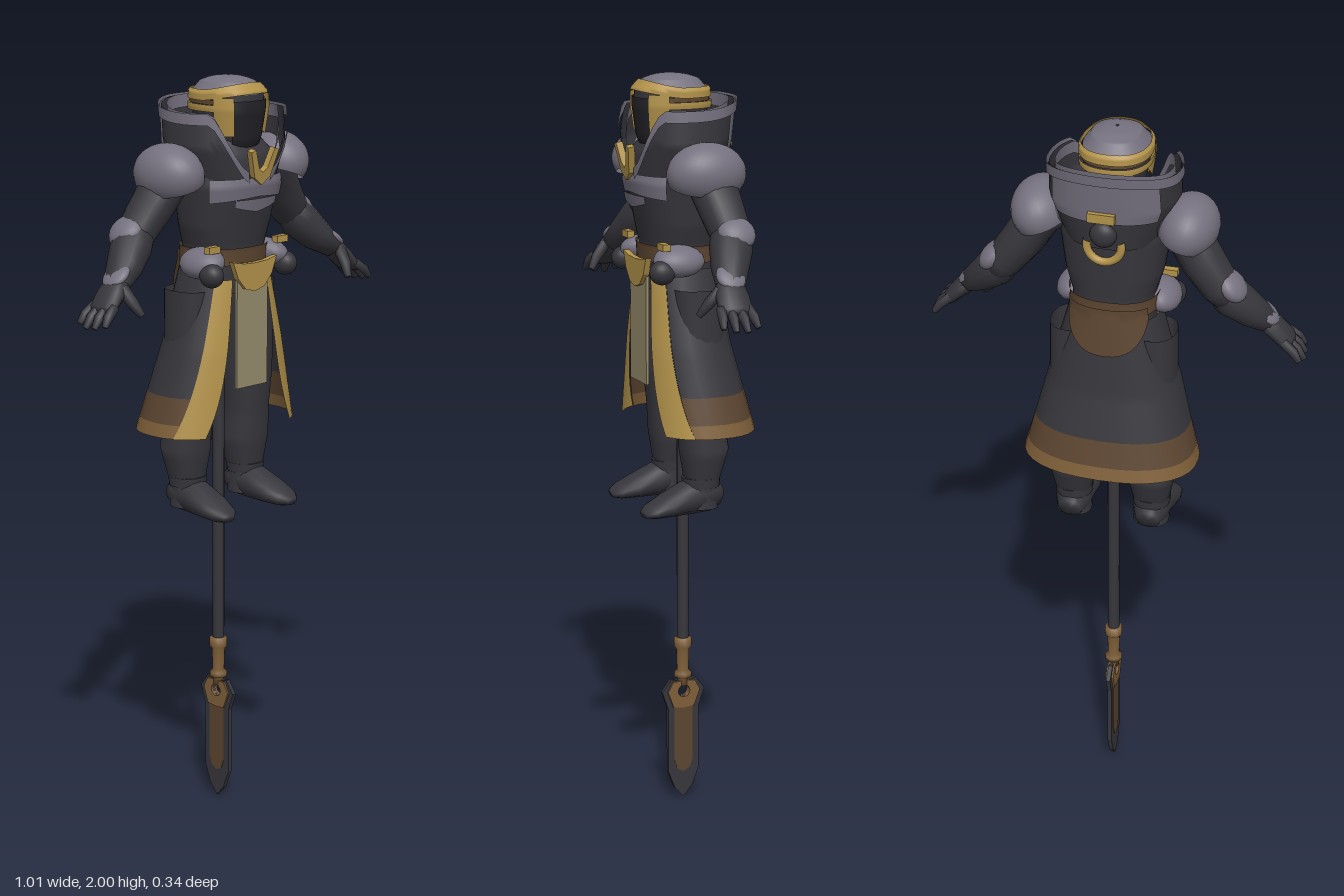
import * as THREE from 'three';
import { ParametricGeometry } from 'three/addons/geometries/ParametricGeometry.js';

const { lerp, smoothstep } = THREE.MathUtils;
const V = (x, y, z) => new THREE.Vector3(x, y, z);

// Profiles are rows of [y, half width, front z, back z]
const TORSO = [[1.44, .11, .1, -.085], [1.55, .108, .105, -.08], [1.62, .128, .118, -.085], [1.72, .142, .138, -.09], [1.8, .13, .125, -.09], [1.88, .05, .07, -.05]];
const SKIRT = [[1.07, .235, .135, -.175], [1.3, .175, .128, -.115], [1.52, .115, .115, -.085]];
const HEAD = [[1.78, .05, .09, -.04], [1.84, .07, .115, -.06], [1.92, .083, .125, -.065], [1.96, .082, .122, -.062], [1.985, .062, .1, -.042], [1.996, .035, .07, -.01], [2, .002, .034, .03]];
const COLLAR = [[1.72, .125, .14, -.1], [1.83, .168, .15, -.115], [1.95, .162, .145, -.13]];
const LEG = [[.86, .048, .03, -.055], [.92, .046, .03, -.055], [1.02, .066, .045, -.085], [1.1, .06, .05, -.07], [1.2, .064, .06, -.07], [1.45, .06, .07, -.07]];

function ringAt(profile, y) {
  let i = 0;
  while (i < profile.length - 2 && y > profile[i + 1][0]) i++;
  const a = profile[i], b = profile[i + 1];
  const t = THREE.MathUtils.clamp((y - a[0]) / (b[0] - a[0]), 0, 1);
  return a.map((n, k) => lerp(n, b[k], t));
}

// Patch of a body profile. Angles in degrees run from the front towards +x;
// angle limits may depend on y, or height limits on the angle.
function shell(profile, a0, a1, y0, y1, off = 0, nu = 32, nv = 16, p = .85) {
  const val = (f, t) => (typeof f === 'function' ? f(t) : f);
  return new ParametricGeometry((u, v, out) => {
    let a, y;
    if (typeof a0 === 'function') {
      y = lerp(y0, y1, v);
      a = lerp(a0(y), a1(y), u);
    } else {
      a = lerp(a0, a1, u);
      y = lerp(val(y0, a), val(y1, a), v);
    }
    const [, rx, zf, zb] = ringAt(profile, y);
    const s = Math.sin(a * Math.PI / 180), c = Math.cos(a * Math.PI / 180);
    out.set((rx + off) * Math.sign(s) * Math.abs(s) ** p, y,
      (zf + zb) / 2 + ((zf - zb) / 2 + off) * Math.sign(c) * Math.abs(c) ** p);
  }, nu, nv);
}

// Closed loft through points [x, y, z, radius across, radius along hint]
function limb(rows, hint = V(0, 0, 1), n = 14) {
  const pts = rows.map(r => V(r[0], r[1], r[2]));
  const pos = [], idx = [], last = rows.length - 1;
  rows.forEach((r, i) => {
    const T = pts[Math.min(i + 1, last)].clone().sub(pts[Math.max(i - 1, 0)]).normalize();
    const B = hint.clone().addScaledVector(T, -hint.dot(T)).normalize();
    const N = B.clone().cross(T);
    for (let j = 0; j < n; j++) {
      const a = j / n * Math.PI * 2;
      const q = pts[i].clone().addScaledVector(N, r[3] * Math.cos(a)).addScaledVector(B, (r[4] ?? r[3]) * Math.sin(a));
      pos.push(q.x, q.y, q.z);
      if (i < last) {
        const a0 = i * n + j, b0 = i * n + (j + 1) % n;
        idx.push(a0, b0, a0 + n, b0, b0 + n, a0 + n);
      }
    }
  });
  const c0 = pos.length / 3, c1 = c0 + 1;
  pos.push(...pts[0].toArray(), ...pts[last].toArray());
  for (let j = 0; j < n; j++) {
    const k = (j + 1) % n;
    idx.push(c0, k, j, c1, last * n + j, last * n + k);
  }
  const g = new THREE.BufferGeometry();
  g.setAttribute('position', new THREE.Float32BufferAttribute(pos, 3));
  g.setIndex(idx);
  g.computeVertexNormals();
  return g;
}

// Flat plate from an outline mirrored about its centre line
function plate(half, depth, hole) {
  const pts = [...half, ...half.slice().reverse().map(([x, y]) => [-x, y])];
  const s = new THREE.Shape(pts.map(([x, y]) => new THREE.Vector2(x, y)));
  if (hole) s.holes.push(new THREE.Path().absarc(0, hole[0], hole[1], 0, Math.PI * 2, true));
  return new THREE.ExtrudeGeometry(s, { depth, bevelEnabled: false }).translate(0, 0, -depth / 2);
}

export function createModel() {
  const root = new THREE.Group();
  const mat = (name, color) => Object.assign(new THREE.MeshStandardMaterial({ color, side: THREE.DoubleSide }), { name });
  const dark = mat('charcoal cloth', 0x37363c), grey = mat('grey armour', 0x75717f);
  const gold = mat('gold trim', 0xb3934b), brown = mat('dark brown', 0x5c4530);
  const tan = mat('light brown', 0x7e5f39), beige = mat('beige cloth', 0x958b6c), black = mat('shadow black', 0x222227);
  const add = (name, geo, material, x = 0, y = 0, z = 0) => {
    const m = new THREE.Mesh(geo, material);
    m.name = name;
    m.position.set(x, y, z);
    root.add(m);
    return m;
  };
  const ball = (name, material, c, r) => {
    const m = add(name, new THREE.SphereGeometry(1, 20, 14), material, ...c);
    m.scale.set(...r);
    return m;
  };

  // Torso and chest armour
  add('torso', shell(TORSO, -180, 180, 1.44, 1.88, 0, 40, 24), dark);
  add('chestPlate', shell(TORSO, -58, 58, a => 1.695 - .0002 * Math.abs(a), 1.745, .01, 20, 4), grey);
  add('sternumPlate', shell(TORSO, -26, 26, a => 1.655 + .0006 * Math.abs(a), 1.69, .012, 12, 4), grey);
  add('belt', shell(TORSO, -180, 180, 1.515, 1.56, .008, 40, 4), brown);

  // Long open coat with trimmed hem and front edges
  const inner = y => 25 + 13 * ((1.5 - y) / .43) ** 4;
  const outer = y => inner(y) + 25 + 4 * (1.5 - y) / .43;
  const around = y => 360 - outer(y);
  add('coatBody', shell(SKIRT, outer, around, 1.175, 1.5, 0, 22, 10), dark);
  add('hemUpperBand', shell(SKIRT, outer, around, 1.105, 1.175, 0, 22, 3), brown);
  add('hemLowerBand', shell(SKIRT, outer, around, 1.07, 1.105, 0, 22, 2), tan);
  add('leftCoatEdge', shell(SKIRT, inner, outer, 1.07, 1.48, .002, 6, 14), gold);
  add('rightCoatEdge', shell(SKIRT, y => -outer(y), y => -inner(y), 1.07, 1.48, .002, 6, 14), gold);
  add('backSash', shell(SKIRT, 125, 235, a => 1.41 + .1 * (Math.abs(a - 180) / 55) ** 2, 1.54, .008, 18, 6), brown);
  add('tabard', new THREE.BoxGeometry(.112, .29, .008), beige, 0, 1.335, .118);
  add('buckle', plate([[0, 1.445], [.035, 1.455], [.062, 1.485], [.08, 1.53], [.04, 1.522], [0, 1.52]], .016), gold, 0, 0, .124);

  // Hooded helmet
  add('helmet', shell(HEAD, -180, 180, 1.78, 1.97, 0, 32, 16), dark);
  add('crown', shell(HEAD, -180, 180, 1.955, 2, .002, 32, 14), grey);
  add('face', shell(HEAD, -42, 42, 1.79, 1.94, .005, 14, 8), black);
  const brow = a => 1.94 + .018 * Math.max(0, Math.cos(a * Math.PI / 180));
  add('browBand', shell(HEAD, -180, 180, brow, a => brow(a) + .027, .011, 40, 4), gold);
  add('lowerBand', shell(HEAD, 60, 300, 1.912, 1.93, .011, 30, 3), gold);
  add('bandInset', shell(HEAD, 60, 300, 1.93, 1.942, .006, 30, 2), brown);
  for (const s of [-1, 1])
    add('cheekGuard', shell(HEAD, s > 0 ? 38 : -72, s > 0 ? 72 : -38, 1.85, 1.95, .013, 8, 8), gold);

  // Flared collar, low at the throat
  const rim = a => 1.755 + .155 * smoothstep(180 - Math.abs(a - 180), 10, 55) + .025 * smoothstep(180 - Math.abs(a - 180), 80, 170);
  add('collarSides', shell(COLLAR, 12, 348, 1.72, rim, 0, 48, 10), dark);
  add('collarBack', shell(COLLAR, 128, 232, 1.8, rim, .004, 20, 8), grey);
  add('collarRim', shell(COLLAR, 12, 348, a => rim(a) - .024, a => rim(a) + .005, .008, 48, 3), grey);
  add('collarLining', shell(COLLAR, 30, 330, a => rim(a) - .03, a => rim(a) + .004, -.014, 48, 3), grey);
  const clasp = add('throatClasp', plate([[0, -.045], [.028, -.025], [.05, .045], [.034, .05], [.015, 0], [0, -.012]], .018), gold, 0, 1.772, .152);
  clasp.rotation.x = .15;

  // Back emblem ring and pods
  const ring = add('backRing', new THREE.TorusGeometry(.045, .011, 8, 24, Math.PI * 1.2), gold, 0, 1.73, -.1);
  ring.rotation.z = -Math.PI * 1.1;
  ball('backPod', dark, [0, 1.765, -.105], [.035, .035, .025]);
  add('backClip', new THREE.BoxGeometry(.07, .025, .018), gold, 0, 1.82, -.122);

  for (const s of [-1, 1]) {
    // Arm and armour
    add('upperArm', limb([[s * .13, 1.78, .01, .05, .065], [s * .19, 1.745, 0, .058, .066], [s * .235, 1.675, -.012, .056, .06], [s * .285, 1.61, -.02, .05, .054], [s * .31, 1.58, -.015, .04, .045]]), dark);
    add('forearm', limb([[s * .265, 1.635, -.02, .04, .045], [s * .31, 1.58, -.008, .053, .056], [s * .355, 1.535, .015, .044, .048], [s * .4, 1.5, .033, .03, .037]]), dark);
    const pad = add('shoulderPad', new THREE.SphereGeometry(1, 28, 14, 0, Math.PI * 2, 0, Math.PI * .62), grey, s * .192, 1.757, .01);
    pad.scale.set(.078, .082, .106);
    pad.rotation.z = -s * .35;
    const elbow = ball('elbowGuard', grey, [s * .312, 1.62, -.022], [.05, .03, .05]);
    elbow.rotation.z = -s * .8;
    const bracer = ball('wristGuard', grey, [s * .395, 1.525, .03], [.042, .016, .038]);
    bracer.rotation.z = -s * .72;

    // Hand
    add('palm', limb([[s * .385, 1.512, .03, .027, .035], [s * .42, 1.48, .036, .025, .044], [s * .452, 1.447, .04, .02, .045], [s * .46, 1.438, .04, .013, .04]]), dark);
    for (let i = 0; i < 4; i++) {
      const z = .006 + i * .024, l = [.9, 1.05, 1, .85][i];
      add('finger', limb([[s * .445, 1.456, z, .013], [s * (.445 + .032 * l), 1.456 - .025 * l, z + (i - 1.5) * .004, .013], [s * (.445 + .05 * l), 1.456 - .05 * l, z + (i - 1.5) * .007, .008]], V(0, 0, 1), 8), dark);
    }
    add('thumb', limb([[s * .4, 1.495, .06, .017], [s * .392, 1.46, .09, .015], [s * .38, 1.43, .11, .009]], V(1, 0, 0), 8), dark);

    // Hip guards
    const hip = ball('hipGuard', grey, [s * .118, 1.525, .055], [.05, .038, .07]);
    hip.rotation.z = -s * .5;
    ball('hipPouch', dark, [s * .135, 1.5, .108], [.03, .032, .035]);
    add('hipClasp', new THREE.BoxGeometry(.04, .018, .02), gold, s * .125, 1.565, .1);

    // Leg and boot
    add('leg', shell(LEG, -180, 180, .86, 1.45, 0, 20, 22), dark, s * .108);
    add('boot', limb([[s * .108, .885, -.062, .03, .032], [s * .108, .895, -.03, .05, .047], [s * .11, .888, .03, .046, .048], [s * .114, .873, .09, .031, .052], [s * .118, .862, .135, .02, .042], [s * .12, .856, .157, .01, .02]], V(1, 0, 0)), dark);
    add('bootCuff', new THREE.CylinderGeometry(.052, .05, .025, 18), dark, s * .108, .93, -.012);
  }

  // Pole with grip and pierced blade
  const pz = -.005;
  add('pole', new THREE.CylinderGeometry(.016, .016, .95, 14), dark, 0, .915, pz);
  add('grip', new THREE.LatheGeometry([[.001, .325], [.014, .325], [.014, .345], [.024, .35], [.024, .362], [.016, .37], [.018, .43], [.024, .437], [.024, .462], [.001, .465]].map(p => new THREE.Vector2(...p)), 14), tan, 0, 0, pz);
  const parts = [
    ['blade', plate([[0, 0], [.026, .03], [.045, .08], [.045, .26], [.062, .31], [.036, .345], [0, .335]], .012, [.31, .017]), dark],
    ['bladeInlay', plate([[0, .075], [.018, .085], [.027, .11], [.027, .265], [0, .265]], .015), brown],
    ['bladeCollar', plate([[0, .262], [.03, .265], [.047, .31], [.032, .338], [0, .34]], .022, [.31, .017]), tan],
  ];
  for (const [name, geo, material] of parts) add(name, geo, material, 0, 0, pz).rotation.y = Math.PI / 2;

  return root;
}
